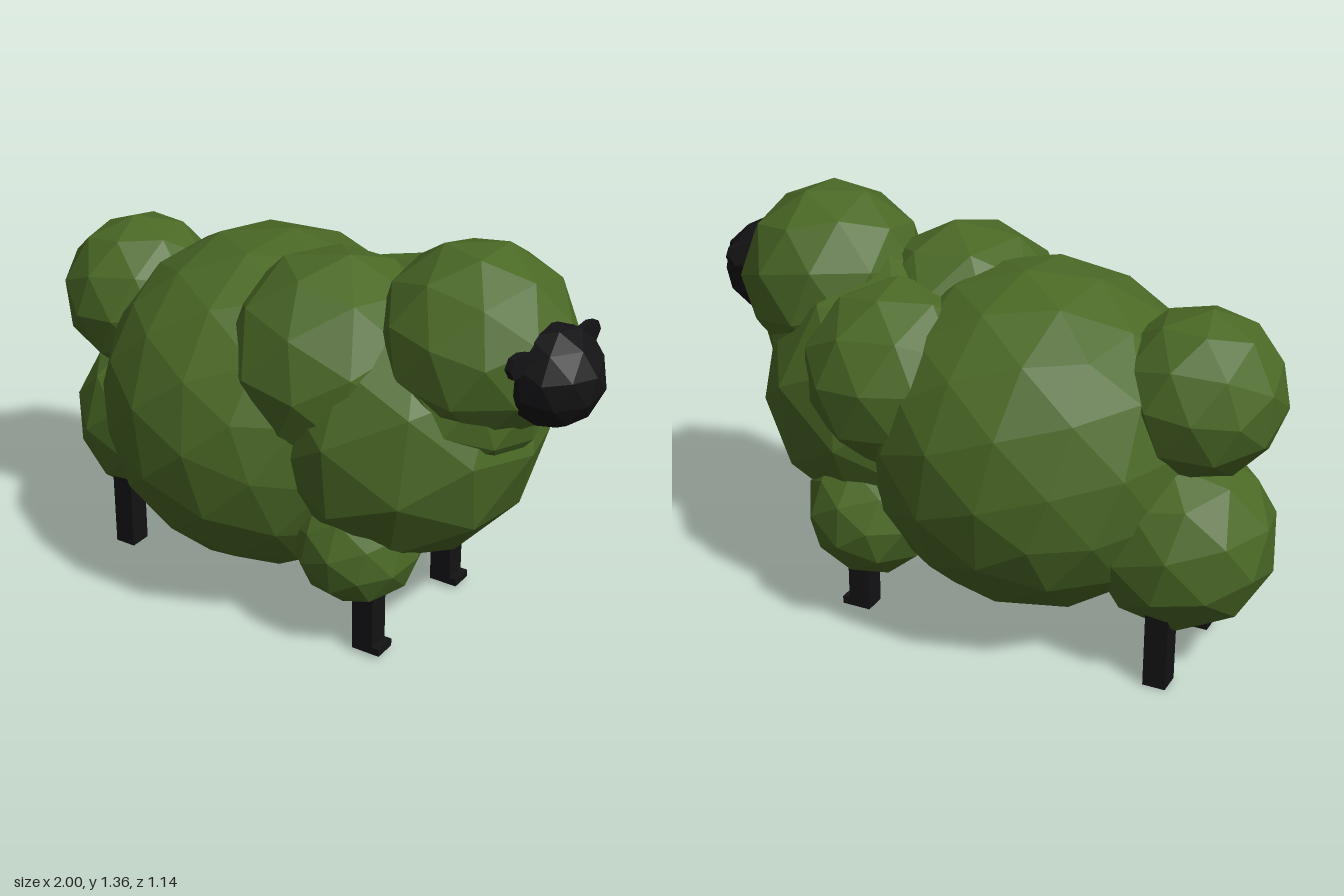
import * as THREE from 'three';

const fleece = new THREE.MeshStandardMaterial({ color: 0x4b6926, flatShading: true });
const dark = new THREE.MeshStandardMaterial({ color: 0x131315, flatShading: true });

// Faceted ball, turned so that neighbouring facets do not line up
function ball(name, [x, y, z], r, detail, turn, material = fleece) {
  const mesh = new THREE.Mesh(new THREE.IcosahedronGeometry(r, detail), material);
  mesh.name = name;
  mesh.position.set(x, y, z);
  mesh.rotation.set(turn, turn * 1.7, turn * 0.6);
  return mesh;
}

function box(name, size, [x, y, z]) {
  const mesh = new THREE.Mesh(new THREE.BoxGeometry(...size), dark);
  mesh.name = name;
  mesh.position.set(x, y, z);
  return mesh;
}

// Leg from its foot up into the fleece, the front ones with a small toe
function leg(name, x, z, bottom, toe) {
  const group = new THREE.Group();
  group.name = name;
  const h = 0.36 - bottom;
  group.add(box('shin', [0.075, h, 0.078], [x, bottom + h / 2, z]));
  if (toe) group.add(box('toe', [0.03, 0.026, 0.078], [x + 0.048, bottom + 0.013, z]));
  return group;
}

// Flat leaf-shaped ear, reaching out along +x of its own outline
function ear(name, side) {
  const outline = new THREE.Shape([
    [0, -0.022], [0.06, -0.032], [0.09, -0.034], [0.11, 0], [0.095, 0.03], [0.06, 0.037], [0, 0.022],
  ].map(([x, y]) => new THREE.Vector2(x, y)));
  const geometry = new THREE.ExtrudeGeometry(outline, { depth: 0.022, bevelEnabled: false });
  geometry.translate(0.1, 0.08, -0.011);
  const mesh = new THREE.Mesh(geometry, dark);
  mesh.name = name;
  mesh.rotation.y = -side * Math.PI / 2;
  return mesh;
}

export function createModel() {
  const model = new THREE.Group();
  model.name = 'sheep';

  // Fleece: overlapping faceted balls
  const wool = new THREE.Group();
  wool.name = 'fleece';
  [
    ['body', [-0.2, 0.665, 0], 0.57, 2, 0.3],
    ['chest', [0.3, 0.735, 0.01], 0.465, 1, 0.9],
    ['neck', [0.5, 0.91, 0.03], 0.3, 1, 1.6],
    ['headWool', [0.565, 1.065, 0.035], 0.313, 1, 0.5],
    ['nearShoulder', [0.12, 0.93, 0.13], 0.355, 1, 1.4],
    ['farShoulder', [0.21, 0.86, -0.185], 0.315, 1, 2.1],
    ['upperRump', [-0.73, 0.905, 0], 0.273, 1, 0.7],
    ['lowerRump', [-0.71, 0.435, -0.05], 0.305, 1, 1.1],
    ['nearThigh', [0.27, 0.37, 0.225], 0.21, 1, 1.8],
    ['farThigh', [0.28, 0.4, -0.245], 0.225, 1, 2.5],
  ].forEach((part) => wool.add(ball(...part)));
  model.add(wool);

  // Head, turned slightly toward the near side
  const head = new THREE.Group();
  head.name = 'head';
  head.position.set(0.84, 1.04, 0.082);
  head.rotation.y = -0.2;
  head.add(ball('face', [0, 0, 0], 0.163, 1, 0.4, dark));
  head.add(ear('nearEar', 1), ear('farEar', -1));
  model.add(head);

  // Legs
  model.add(
    leg('nearFrontLeg', 0.337, 0.265, 0.012, true),
    leg('farFrontLeg', 0.337, -0.232, 0.012, true),
    leg('nearRearLeg', -0.72, 0.15, 0.008, false),
    leg('farRearLeg', -0.72, -0.232, 0, false),
  );
  return model;
}
